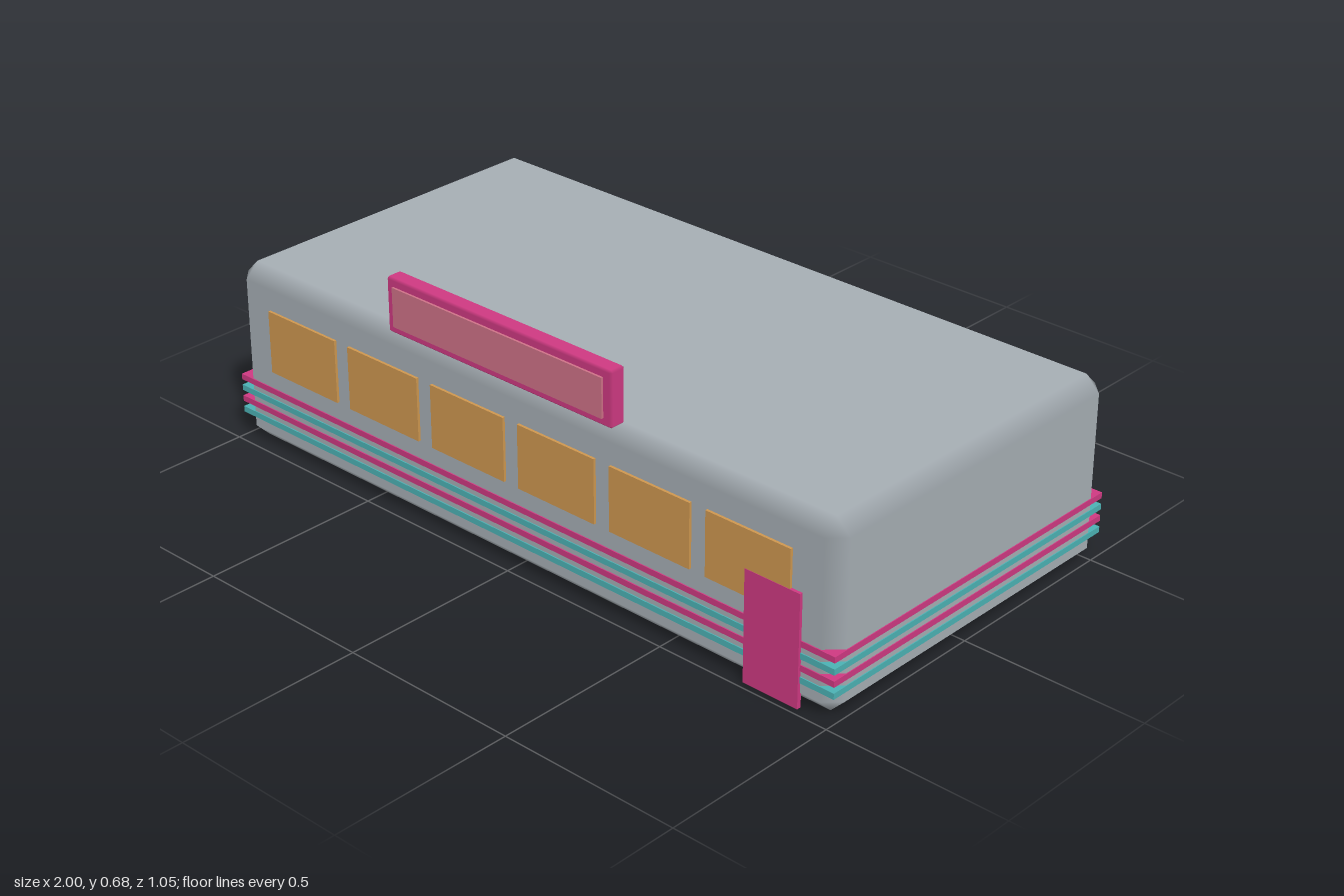
import * as THREE from 'three';
import { ConvexGeometry } from 'three/addons/geometries/ConvexGeometry.js';

const AXES = ['x', 'y', 'z'];

// Box with single-step bevels; each corner point keeps the normal of its main face.
function bevelBox(w, h, d, c) {
  const half = [w / 2, h / 2, d / 2];
  const points = [];
  for (let axis = 0; axis < 3; axis++) {
    for (const sx of [-1, 1]) for (const sy of [-1, 1]) for (const sz of [-1, 1]) {
      const p = [sx, sy, sz].map((s, i) => s * (half[i] - (i === axis ? 0 : c)));
      points.push(new THREE.Vector3(...p));
    }
  }
  const geometry = new ConvexGeometry(points);
  const pos = geometry.attributes.position;
  const p = new THREE.Vector3();
  for (let i = 0; i < pos.count; i++) {
    p.fromBufferAttribute(pos, i);
    const n = AXES.map((a, k) => (Math.abs(p[a]) > half[k] - 1e-4 ? Math.sign(p[a]) : 0));
    geometry.attributes.normal.setXYZ(i, ...n);
  }
  return geometry;
}

function material(name, color) {
  const m = new THREE.MeshStandardMaterial({ color });
  m.name = name;
  return m;
}

export function createModel() {
  const steel = material('steel', 0xa7afb5);
  const pink = material('pink', 0xcf3a82);
  const teal = material('teal', 0x4cb3b5);
  const amber = material('amber', 0xcf9850);
  const glow = material('signFace', 0xcf7288);

  const model = new THREE.Group();
  model.name = 'diner';
  const add = (name, geometry, mat, x, y, z) => {
    const mesh = new THREE.Mesh(geometry, mat);
    mesh.name = name;
    mesh.position.set(x, y, z);
    model.add(mesh);
  };

  // Main building
  const midZ = -0.025;
  add('body', bevelBox(1.995, 0.5, 0.998, 0.04), steel, 0, 0.25, midZ);

  // Alternating trim bands around the building
  const band = new THREE.BoxGeometry(2, 0.016, 1.004);
  for (let i = 0; i < 4; i++) {
    add('trimBand', band, i % 2 ? pink : teal, 0, 0.075 + i * 0.0315, midZ);
  }

  // Row of front windows
  const pane = new THREE.BoxGeometry(0.25, 0.173, 0.009);
  for (let i = 0; i < 6; i++) {
    add('window', pane, amber, (i - 2.5) * 0.298, 0.315, 0.4768);
  }

  // Front door
  add('door', new THREE.BoxGeometry(0.162, 0.3, 0.012), pink, 0.82, 0.15, 0.4764);

  // Sign above the roof edge
  add('sign', bevelBox(0.74, 0.147, 0.046, 0.006), pink, 0, 0.6015, 0.498);
  add('signPanel', new THREE.BoxGeometry(0.69, 0.104, 0.008), glow, 0, 0.6015, 0.523);

  return model;
}
